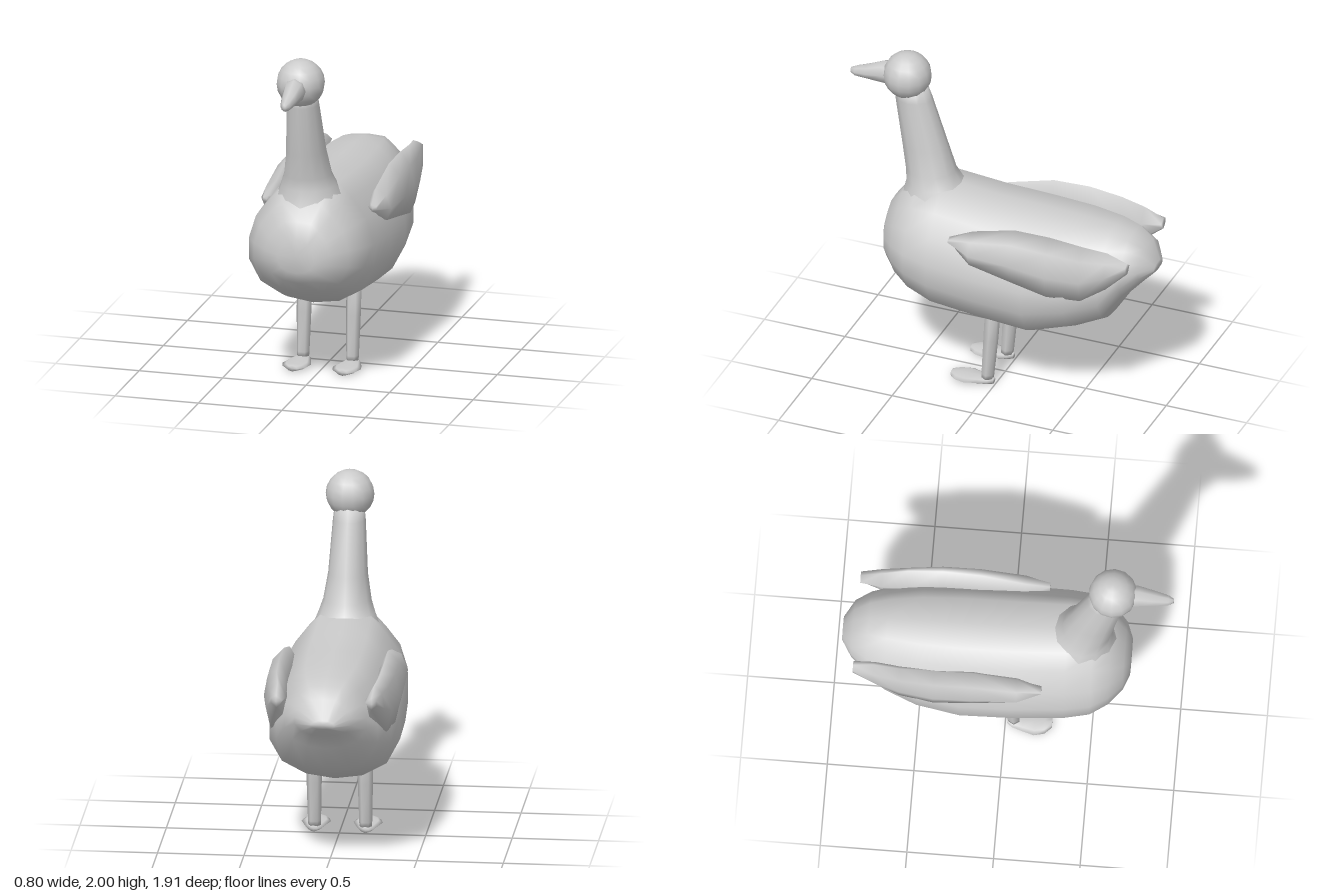
import * as THREE from 'three';

const grey = new THREE.MeshStandardMaterial({ color: 0xcccccc });

// Skins a list of closed rings (arrays of [x, y, z]) and caps both ends.
function loft(rings) {
  const n = rings[0].length, pos = rings.flat(2), idx = [];
  const base = rings.length * n;
  for (const ring of [rings[0], rings[rings.length - 1]]) {
    for (let a = 0; a < 3; a++) pos.push(ring.reduce((sum, p) => sum + p[a], 0) / n);
  }
  for (let j = 0; j < n; j++) {
    const k = (j + 1) % n, last = base - n;
    for (let i = 0; i < rings.length - 1; i++) {
      const a = i * n + j, b = i * n + k;
      idx.push(a, b, a + n, b, b + n, a + n);
    }
    idx.push(base, k, j, base + 1, last + j, last + k);
  }
  // The sign of the enclosed volume tells whether the faces point outwards.
  const v = i => new THREE.Vector3(pos[3 * i], pos[3 * i + 1], pos[3 * i + 2]);
  let volume = 0;
  for (let i = 0; i < idx.length; i += 3) volume += v(idx[i]).dot(v(idx[i + 1]).cross(v(idx[i + 2])));
  if (volume < 0) idx.reverse();
  const geo = new THREE.BufferGeometry();
  geo.setAttribute('position', new THREE.Float32BufferAttribute(pos, 3));
  geo.setIndex(idx);
  geo.computeVertexNormals();
  return geo;
}

// Evenly spaced unit circle points.
const circle = n => Array.from({ length: n }, (_, i) => {
  const t = (i / n) * Math.PI * 2;
  return [Math.cos(t), Math.sin(t)];
});

function add(parent, name, geo) {
  const mesh = new THREE.Mesh(geo, grey);
  mesh.name = name;
  parent.add(mesh);
  return mesh;
}

// Body: narrow back, shoulders where the wings lie, full belly.
function bodyGeometry() {
  const half = [[0.4, 0.98], [0.62, 0.86], [0.86, 0.7], [0.98, 0.5], [0.98, 0.32], [0.78, 0.13], [0.42, 0.03]];
  const outline = [[0, 1], ...half, [0, 0], ...half.map(([u, v]) => [-u, v]).reverse()];
  // z, half width, bottom, top
  const sections = [
    [0.715, 0.11, 0.74, 0.94], [0.68, 0.2, 0.67, 1.04], [0.6, 0.29, 0.59, 1.14], [0.5, 0.35, 0.52, 1.2],
    [0.35, 0.37, 0.455, 1.215], [0.05, 0.385, 0.43, 1.185], [-0.25, 0.385, 0.405, 1.175], [-0.5, 0.36, 0.49, 1.165],
    [-0.69, 0.3, 0.58, 1.15], [-0.8, 0.24, 0.75, 1.125], [-0.89, 0.17, 0.85, 1.07], [-0.95, 0.07, 0.91, 0.96],
  ];
  return loft(sections.map(([z, w, lo, hi]) => outline.map(([u, v]) => [u * w, lo + v * (hi - lo), z])));
}

// Neck: tapered column that spreads into the breast.
function neckGeometry() {
  // y, front z, back z, half width
  const sections = [
    [0.8, 0.69, 0.15, 0.3], [0.95, 0.69, 0.15, 0.27], [1.08, 0.635, 0.18, 0.215], [1.2, 0.605, 0.27, 0.165],
    [1.27, 0.61, 0.315, 0.14], [1.42, 0.635, 0.36, 0.115], [1.72, 0.68, 0.46, 0.095], [1.8, 0.68, 0.49, 0.085],
  ];
  return loft(sections.map(([y, f, b, w]) =>
    circle(12).map(([c, s]) => [c * w, y, (f + b) / 2 + s * (f - b) / 2])));
}

// Folded wing: a thin shell with a raised upper ridge, ending in a point.
function wingGeometry(side) {
  // z, lower y, upper y, inner x, ridge x, outer x
  const sections = [
    [0.22, 0.99, 1.03, 0.29, 0.31, 0.34], [0.08, 0.9, 1.09, 0.25, 0.295, 0.39],
    [-0.18, 0.85, 1.16, 0.245, 0.3, 0.4], [-0.4, 0.8, 1.165, 0.25, 0.305, 0.395],
    [-0.6, 0.8, 1.145, 0.235, 0.3, 0.365], [-0.75, 0.9, 1.125, 0.23, 0.28, 0.34],
    [-0.87, 1.01, 1.08, 0.24, 0.275, 0.305],
  ];
  return loft(sections.map(([z, lo, hi, xi, xr, xo]) => {
    const at = t => lo + t * (hi - lo);
    return [[xi, at(0.6)], [xr, hi], [(xr + xo) / 2 + 0.015, at(0.78)], [xo, at(0.38)],
      [xo - 0.03, lo], [xi + 0.02, at(0.15)]].map(([x, y]) => [x * side, y, z]);
  }));
}

// Beak: a blunt wedge with a gently sloping bridge.
function beakGeometry() {
  // z, centre y, half height, half width
  const sections = [[0.68, 1.85, 0.075, 0.07], [0.76, 1.846, 0.07, 0.062], [0.86, 1.825, 0.045, 0.045],
    [0.93, 1.812, 0.032, 0.03], [0.96, 1.81, 0.018, 0.012]];
  return loft(sections.map(([z, y, h, w]) => circle(8).map(([c, s]) => [c * w, y + s * h, z])));
}

// Leg: six-sided post leaning slightly forward towards the foot.
function legGeometry(side) {
  // y, z, radius
  const sections = [[0.03, 0.05, 0.036], [0.06, 0.048, 0.038], [0.3, 0.03, 0.044], [0.52, 0.016, 0.046]];
  return loft(sections.map(([y, z, r]) => circle(6).map(([c, s]) => [side * 0.148 + c * r, y, z + s * r])));
}

// Foot: flat webbed paddle.
function footGeometry(side) {
  // z, half width
  const sections = [[0.01, 0.02], [0.04, 0.045], [0.1, 0.065], [0.17, 0.085], [0.23, 0.07], [0.27, 0.03]];
  return loft(sections.map(([z, w]) => circle(8).map(([c, s]) => [side * 0.15 + c * w, 0.018 + s * 0.018, z])));
}

export function createModel() {
  const bird = new THREE.Group();
  bird.name = 'waterfowl';
  add(bird, 'body', bodyGeometry());
  add(bird, 'neck', neckGeometry());
  const head = add(bird, 'head', new THREE.SphereGeometry(0.141, 14, 10));
  head.position.set(0, 1.859, 0.61);
  add(bird, 'beak', beakGeometry());
  for (const [side, label] of [[1, 'left'], [-1, 'right']]) {
    add(bird, label + 'Wing', wingGeometry(side));
    add(bird, label + 'Leg', legGeometry(side));
    add(bird, label + 'Foot', footGeometry(side));
  }
  return bird;
}
